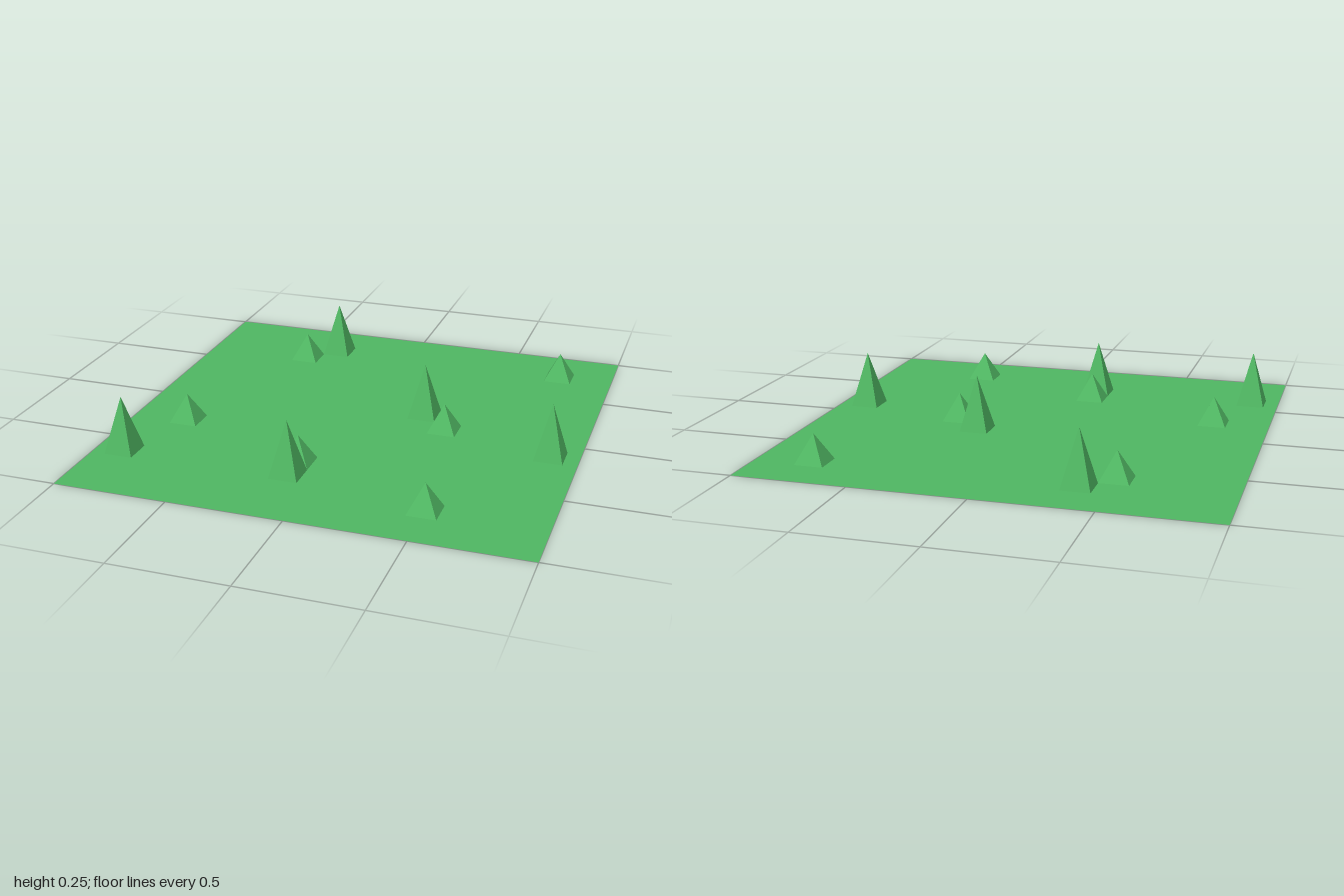
import * as THREE from 'three';

const GRID = 0.125; // tile size, also the pyramid base width

// Grid positions [column, row] of the pyramids
const TALL = [[-7, 5], [-3, -6], [-1, 5], [2, -1], [7, 1]];
const SHORT = [[-6, 2], [-4, -5], [-1, 4], [3, 0], [4, 6], [6, -6]];

export function createModel() {
  const model = new THREE.Group();
  model.name = 'grassField';
  const grass = new THREE.MeshStandardMaterial({
    color: 0x50b863, flatShading: true, side: THREE.DoubleSide,
  });
  grass.name = 'grassGreen';

  // Flat square ground sheet
  const ground = new THREE.Mesh(new THREE.PlaneGeometry(2, 2).rotateX(-Math.PI / 2), grass);
  ground.name = 'ground';
  model.add(ground);

  // Four-sided pyramids with edges parallel to the ground's sides
  const addPyramids = (name, cells, height) => {
    const geometry = new THREE.ConeGeometry(GRID * Math.SQRT1_2, height, 4, 1, true)
      .rotateY(Math.PI / 4)
      .translate(0, height / 2, 0);
    cells.forEach(([column, row], i) => {
      const pyramid = new THREE.Mesh(geometry, grass);
      pyramid.name = `${name}${i + 1}`;
      pyramid.position.set(column * GRID, 0, row * GRID);
      model.add(pyramid);
    });
  };
  addPyramids('tallTree', TALL, 0.247);
  addPyramids('shortBush', SHORT, 0.124);

  return model;
}
